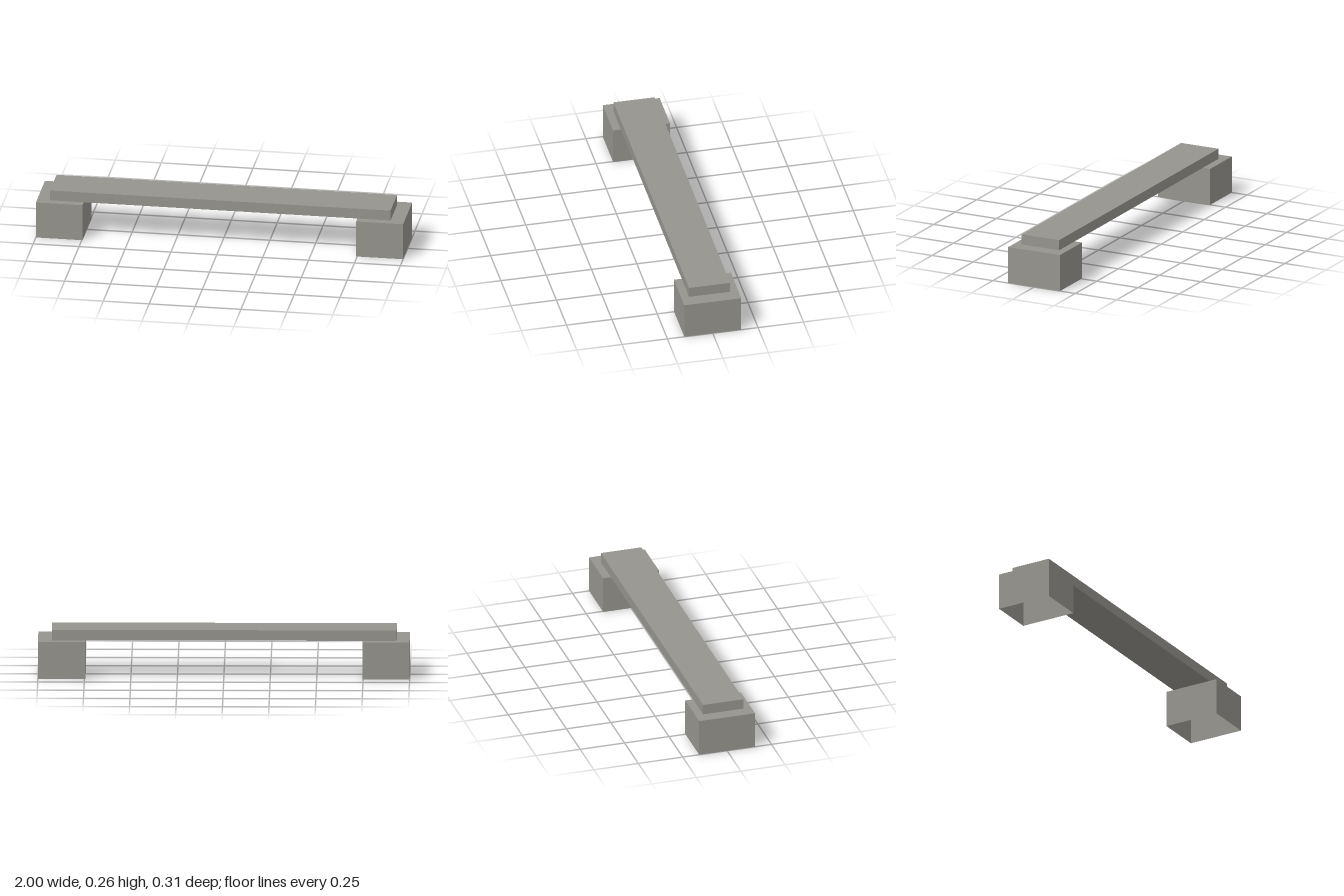
import * as THREE from 'three';

const stone = new THREE.MeshStandardMaterial({ color: 0x96948e, side: THREE.DoubleSide });
stone.name = 'grey stone';

// Box given by its lower and upper corners; openBottom drops the underside
function block(name, [x0, y0, z0], [x1, y1, z1], openBottom = false) {
  const geometry = new THREE.BoxGeometry(x1 - x0, y1 - y0, z1 - z0);
  if (openBottom) {
    const index = Array.from(geometry.index.array);
    index.splice(18, 6); // the -y face
    geometry.setIndex(index);
    geometry.clearGroups();
  }
  const mesh = new THREE.Mesh(geometry, stone);
  mesh.name = name;
  mesh.position.set((x0 + x1) / 2, (y0 + y1) / 2, (z0 + z1) / 2);
  return mesh;
}

export function createModel() {
  const bench = new THREE.Group();
  bench.name = 'bench';

  // Hollow supports, open underneath
  bench.add(block('leftSupport', [0.744, 0, -0.157], [1, 0.203, 0.157], true));
  bench.add(block('rightSupport', [-1, 0, -0.157], [-0.746, 0.203, 0.157], true));

  // Solid slab resting on both supports
  bench.add(block('seatSlab', [-0.93, 0.203, -0.113], [0.925, 0.26, 0.114]));

  return bench;
}
